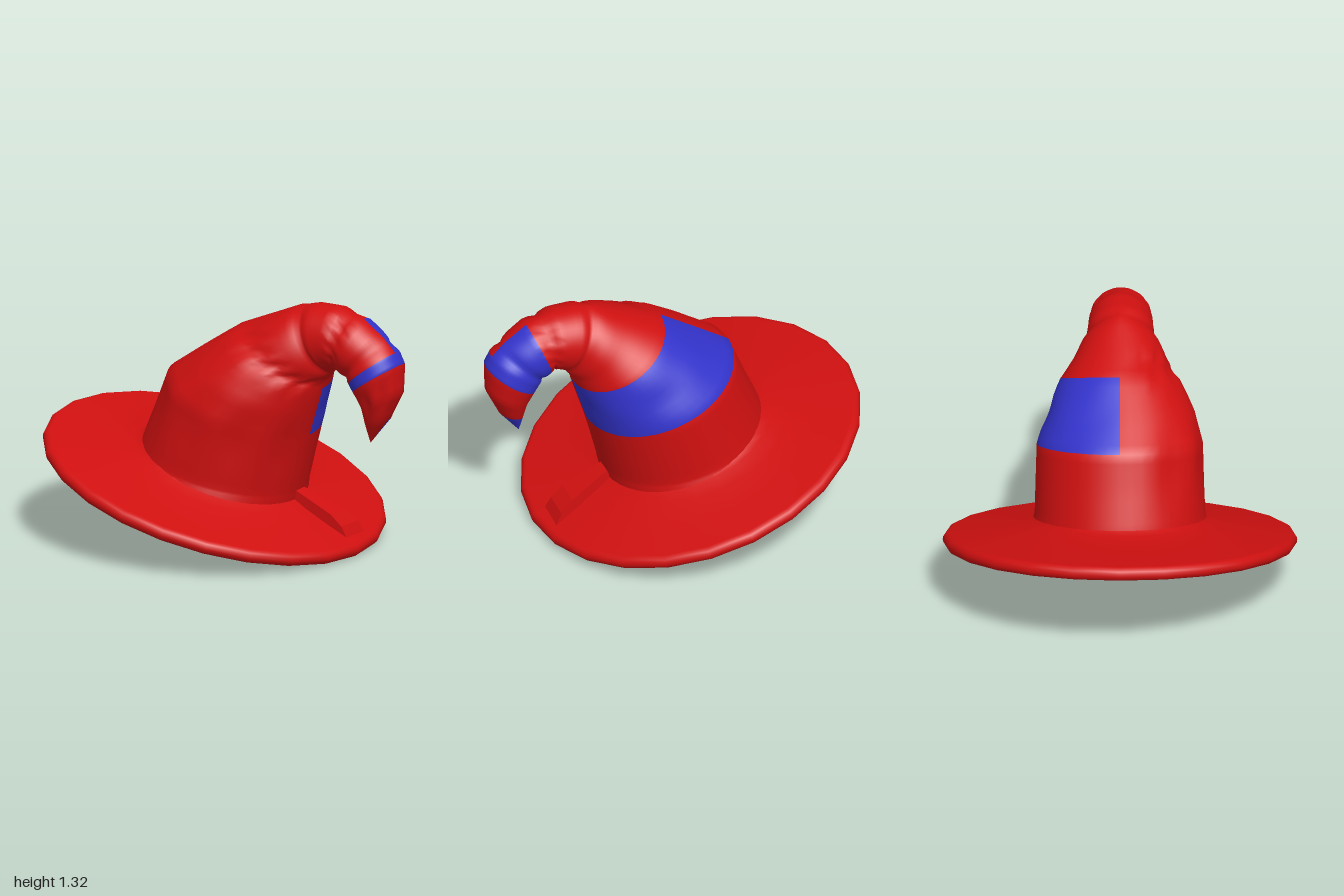
import * as THREE from 'three';

const red = new THREE.MeshStandardMaterial({ color: 0xd01010, side: THREE.DoubleSide });
const blue = new THREE.MeshStandardMaterial({ color: 0x3333cc, side: THREE.DoubleSide });

// Crown sections: outer (spine) x, y; inner (throat) x, y; half width in z
const SECTIONS = [
  [-0.5, 0.47, 0.36, 0.26, 0.46],
  [-0.49, 0.53, 0.37, 0.31, 0.44],
  [-0.41, 0.72, 0.41, 0.47, 0.435],
  [-0.335, 0.91, 0.45, 0.62, 0.43],
  [-0.15, 1.035, 0.49, 0.75, 0.385],
  [0.04, 1.16, 0.53, 0.88, 0.31],
  [0.22, 1.235, 0.55, 0.93, 0.24],
  [0.4, 1.31, 0.58, 0.965, 0.19],
  [0.5, 1.33, 0.605, 0.985, 0.17],
  [0.63, 1.33, 0.635, 1.0, 0.165],
  [0.78, 1.285, 0.66, 0.99, 0.16],
  [0.9, 1.2, 0.685, 0.97, 0.155],
  [0.97, 1.13, 0.715, 0.935, 0.15],
  [1.0, 1.07, 0.74, 0.895, 0.15],
  [1.0, 0.92, 0.78, 0.82, 0.12],
  [0.93, 0.77, 0.8, 0.73, 0.07],
  [0.82, 0.63, 0.82, 0.63, 0],
];
const AROUND = 48, STEPS = 4;

// Inward creases across the cloth, leaving spine and throat lines untouched
function foldDepth(s, t) {
  const side = Math.sin(t), front = side > 0;
  const crease = (at, width, depth) => depth * Math.exp(-(((s - at) / width) ** 2));
  const zigzag = 0.25 * Math.abs(((t * 2.2) % 1) * 2 - 1);
  let d = crease(7.3, 0.3, 0.12) + crease(9.4 + zigzag, 0.25, 0.12) + crease(11.3, 0.3, 0.1);
  if (front) {
    d += crease(5.2 + zigzag * 2, 0.35, 0.09) + crease(14, 0.6, 0.12) * (0.5 + 0.5 * Math.cos(7 * t));
    d += crease(2.6, 1, 0.04) * (0.5 + 0.5 * Math.cos(9 * t));
  } else {
    d += crease(4, 0.4, 0.05) * (0.5 + 0.5 * Math.cos(4 * t));
  }
  return d * Math.min(1, Math.abs(side) * 1.6);
}

function isBlue(s, front) {
  if (front) return s > 12 && s < 13;
  return (s > 3 && s < 5) || (s > 10 && s < 13) || s > 15;
}

function buildCrown() {
  const pos = [], redIndex = [], blueIndex = [];
  const rows = (SECTIONS.length - 1) * STEPS;
  for (let i = 0; i <= rows; i++) {
    const s = i / STEPS, k = Math.min(Math.floor(s), SECTIONS.length - 2);
    const [ox, oy, ix, iy, w] = SECTIONS[k].map((v, n) => THREE.MathUtils.lerp(v, SECTIONS[k + 1][n], s - k));
    for (let j = 0; j < AROUND; j++) {
      const t = (j / AROUND) * Math.PI * 2;
      const f = 1 - foldDepth(s, t), c = (Math.cos(t) * f) / 2;
      pos.push((ox + ix) / 2 + (ox - ix) * c, (oy + iy) / 2 + (oy - iy) * c, w * Math.sin(t) * f);
    }
  }
  for (let i = 0; i < rows; i++) {
    for (let j = 0; j < AROUND; j++) {
      const n = (j + 1) % AROUND, lo = i * AROUND, hi = lo + AROUND;
      const list = isBlue((i + 0.5) / STEPS, j < AROUND / 2) ? blueIndex : redIndex;
      list.push(lo + j, lo + n, hi + n);
      if (i < rows - 1) list.push(lo + j, hi + n, hi + j);
    }
  }
  // Normals come from the whole surface, so colours meet without a seam
  const whole = new THREE.BufferGeometry();
  whole.setAttribute('position', new THREE.Float32BufferAttribute(pos, 3));
  whole.setIndex([...redIndex, ...blueIndex]);
  whole.computeVertexNormals();
  const part = (index) => whole.clone().setIndex(index);
  return [part(redIndex), part(blueIndex)];
}

function buildBrim() {
  const profile = [new THREE.Vector2(0, -0.037), new THREE.Vector2(0.6, -0.037)];
  for (let i = 0; i <= 8; i++) {
    const a = -Math.PI / 2 + (i / 8) * Math.PI;
    profile.push(new THREE.Vector2(0.876 + 0.037 * Math.cos(a), 0.037 * Math.sin(a)));
  }
  for (const [r, h] of [[0.7, 0.06], [0.55, 0.085], [0.46, 0.108], [0.41, 0.13], [0.36, 0.19]]) {
    profile.push(new THREE.Vector2(r, h));
  }
  return new THREE.LatheGeometry(profile, 24);
}

// Pinched lump of cloth on the low side of the brim, widening outwards
function buildBrimFold() {
  const shape = new THREE.Shape([[0.45, 0.04], [0.84, 0.03], [0.78, 0.085], [0.7, 0.12], [0.47, 0.152]]
    .map(([x, y]) => new THREE.Vector2(x, y)));
  const geo = new THREE.ExtrudeGeometry(shape, { depth: 0.16, bevelEnabled: false });
  const p = geo.attributes.position;
  for (let i = 0; i < p.count; i++) {
    const spread = 0.5 + (p.getX(i) - 0.45) * 1.5;
    p.setZ(i, -0.16 * spread + p.getZ(i) * spread);
  }
  geo.computeVertexNormals();
  return geo;
}

export function createModel() {
  const hat = new THREE.Group();
  hat.name = 'pointedHat';
  const add = (parent, name, geometry, material) => {
    const mesh = new THREE.Mesh(geometry, material);
    mesh.name = name;
    parent.add(mesh);
  };

  // Tilted brim
  const brim = new THREE.Group();
  brim.name = 'brimGroup';
  brim.position.set(-0.127, 0.3025, 0);
  brim.rotation.z = -0.298;
  add(brim, 'brim', buildBrim(), red);
  add(brim, 'brimFold', buildBrimFold(), red);
  hat.add(brim);

  // Curled crown with coloured bands
  const [cloth, bands] = buildCrown();
  add(hat, 'crown', cloth, red);
  add(hat, 'crownBands', bands, blue);
  return hat;
}
